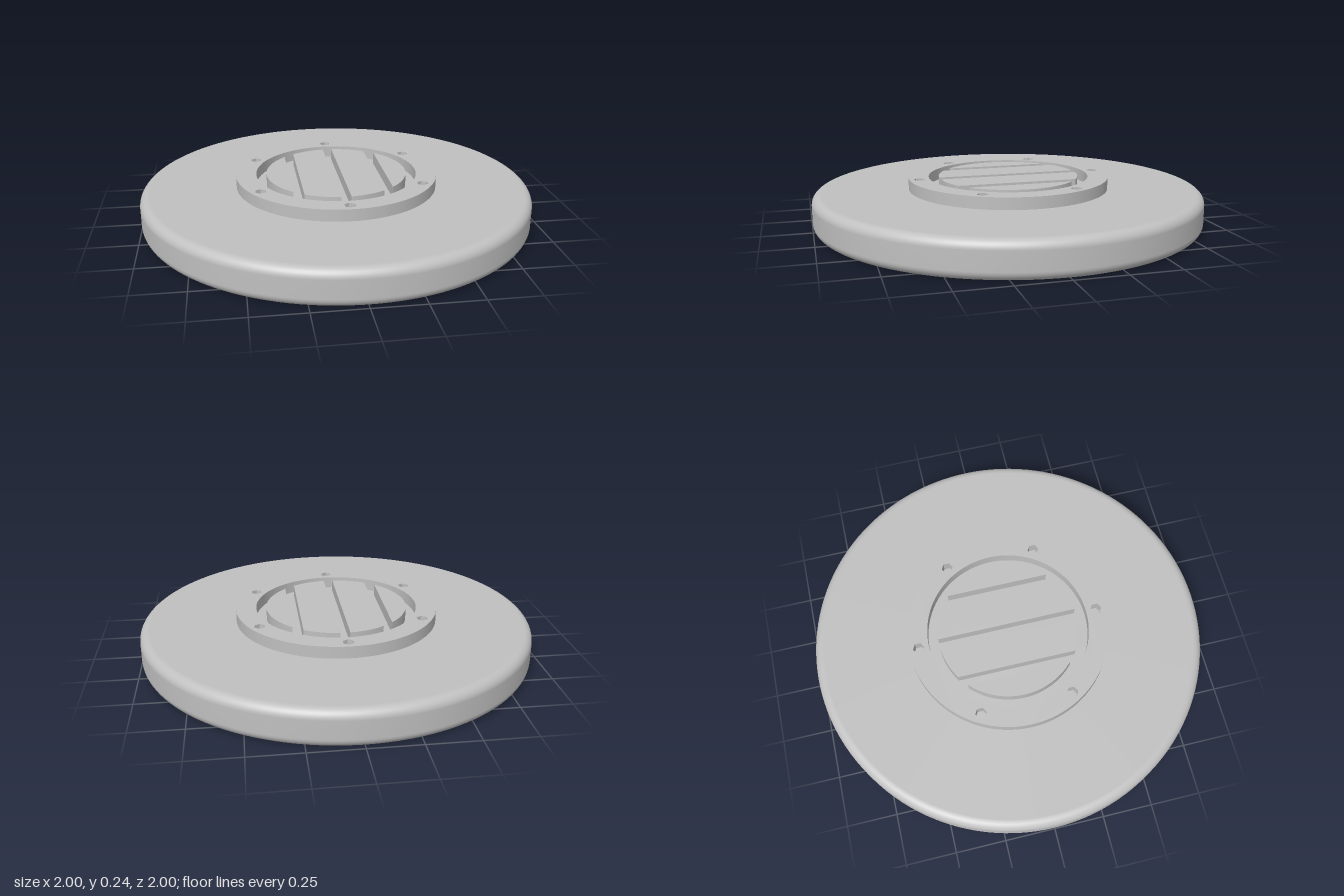
import * as THREE from 'three';

const BASE_TOP = 0.18, TOP = 0.24;

// Extrude a plan shape upward from the top of the base.
function raised(shape, curveSegments) {
  const g = new THREE.ExtrudeGeometry(shape, { depth: TOP - BASE_TOP, bevelEnabled: false, curveSegments });
  g.rotateX(-Math.PI / 2);
  g.translate(0, BASE_TOP, 0);
  return g;
}

// Slice of a disc of radius r between x0 and x1.
function discSlice(r, x0, x1) {
  const a0 = Math.acos(x0 / r), a1 = Math.acos(x1 / r);
  const s = new THREE.Shape();
  s.absarc(0, 0, r, a1, a0, false);
  s.absarc(0, 0, r, -a0, -a1, false);
  return s;
}

export function createModel() {
  const model = new THREE.Group();
  const grey = new THREE.MeshStandardMaterial({ color: 0xc0c0c0 });
  grey.name = 'grey';
  const add = (name, geometry) => {
    const m = new THREE.Mesh(geometry, grey);
    m.name = name;
    model.add(m);
    return m;
  };

  // Round base with filleted rims
  const f = 0.045, profile = [new THREE.Vector2(0, 0), new THREE.Vector2(1 - f - 0.003, 0)];
  for (const [cy, start] of [[f, -Math.PI / 2], [BASE_TOP - f, 0]]) {
    for (let i = 0; i <= 8; i++) {
      const a = start + (i / 8) * Math.PI / 2;
      profile.push(new THREE.Vector2(1 - f + f * Math.cos(a), cy + f * Math.sin(a)));
    }
  }
  profile.push(new THREE.Vector2(1 - f - 0.003, BASE_TOP), new THREE.Vector2(0, BASE_TOP));
  add('base', new THREE.LatheGeometry(profile, 128));

  // Flange ring with six hexagonal bolt holes
  const ring = new THREE.Shape().absarc(0, 0, 0.515, 0, Math.PI * 2, false);
  ring.holes.push(new THREE.Path().absarc(0, 0, 0.412, 0, Math.PI * 2, true));
  for (let k = 0; k < 6; k++) {
    const a = Math.PI / 2 + k * Math.PI / 3;
    const pts = [];
    for (let i = 0; i < 6; i++) {
      const b = Math.PI / 2 - i * Math.PI / 3;
      pts.push(new THREE.Vector2(0.465 * Math.cos(a) + 0.029 * Math.cos(b), 0.465 * Math.sin(a) + 0.029 * Math.sin(b)));
    }
    ring.holes.push(new THREE.Path(pts));
  }
  add('flangeRing', raised(ring, 96));

  // Central disc cut into four bars by straight slots
  const bars = [['innerBar', 0.024, 0.196], ['outerBar', 0.246, 0.36]];
  for (const [name, x0, x1] of bars) {
    const g = raised(discSlice(0.36, x0, x1), 20);
    add(name + 'Left', g);
    add(name + 'Right', g).rotation.y = Math.PI;
  }
  return model;
}
